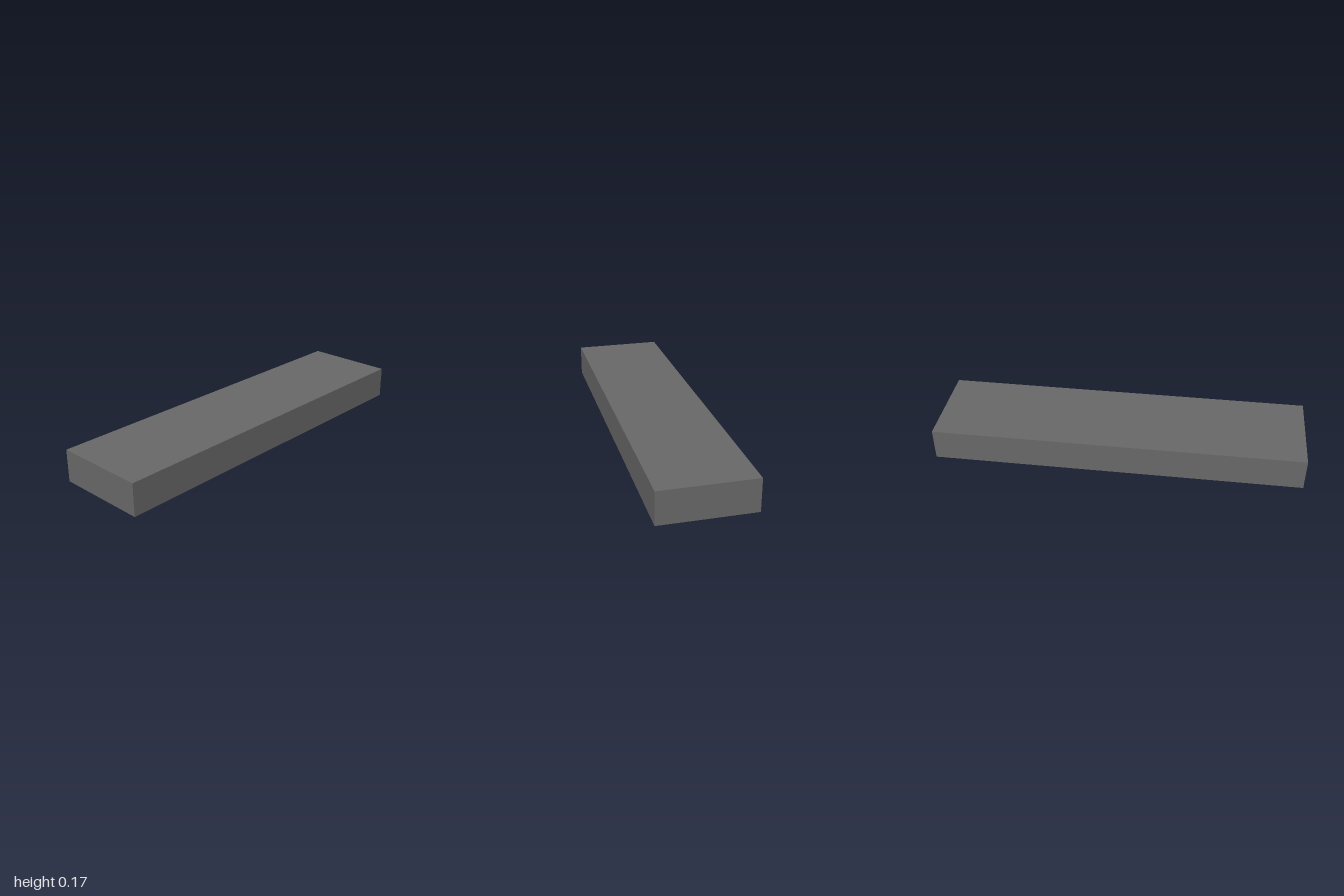
import * as THREE from 'three';

const WIDTH = 0.5, HEIGHT = 0.175, LENGTH = 2, RIM = 0.05, TOP = 0.01;

function rectangle(path, w, l) {
  path.moveTo(-w / 2, -l / 2);
  path.lineTo(w / 2, -l / 2);
  path.lineTo(w / 2, l / 2);
  path.lineTo(-w / 2, l / 2);
  path.closePath();
  return path;
}

export function createModel() {
  const model = new THREE.Group();
  model.name = 'ceilingLight';
  const grey = new THREE.MeshStandardMaterial({ color: 0x696969, flatShading: true });
  grey.name = 'grey';

  function add(name, geometry, x, y, z) {
    const mesh = new THREE.Mesh(geometry, grey);
    mesh.name = name;
    mesh.position.set(x, y, z);
    model.add(mesh);
  }

  // Housing walls, open at the bottom
  const outline = rectangle(new THREE.Shape(), WIDTH, LENGTH);
  outline.holes.push(rectangle(new THREE.Path(), WIDTH - 2 * RIM, LENGTH - 2 * RIM));
  const walls = new THREE.ExtrudeGeometry(outline, { depth: HEIGHT - TOP, bevelEnabled: false });
  walls.rotateX(-Math.PI / 2);
  add('housingWalls', walls, 0, 0, 0);

  // Closed top of the housing
  add('housingTop', new THREE.BoxGeometry(WIDTH, TOP, LENGTH), 0, HEIGHT - TOP / 2, 0);

  // Pair of eight-sided lamp tubes inside the recess
  const tube = new THREE.CylinderGeometry(0.075, 0.075, LENGTH - 2 * RIM, 8);
  tube.rotateX(Math.PI / 2);
  for (const side of [1, -1]) {
    add(side > 0 ? 'leftTube' : 'rightTube', tube, side * 0.1, HEIGHT / 2, 0);
  }

  return model;
}
